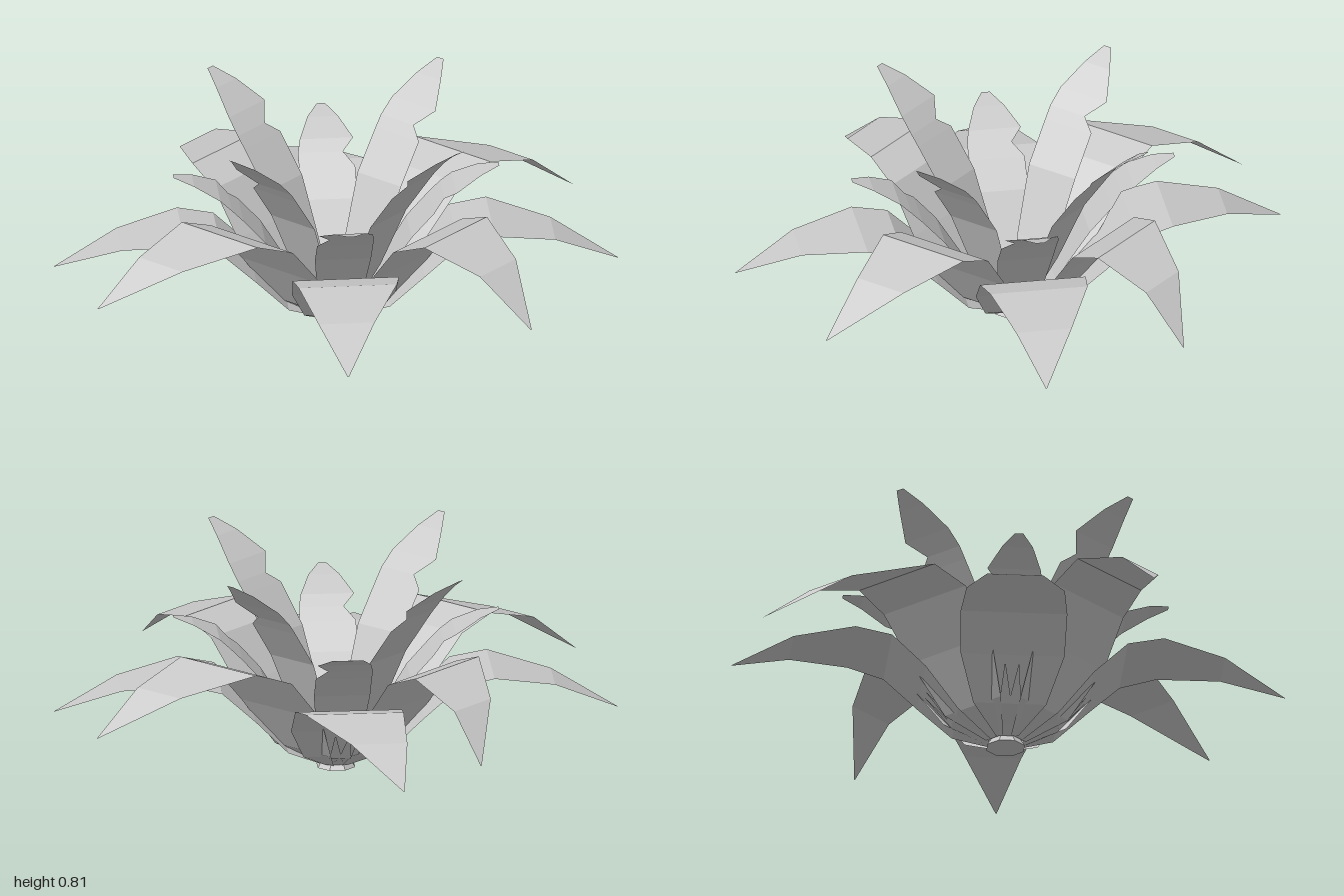
import * as THREE from 'three';

const leafGrey = new THREE.MeshStandardMaterial({
  name: 'leafGrey', color: 0xc8c8c8, flatShading: true, side: THREE.DoubleSide });

// A leaf sheet from rows of [radius, height, edge, other edge], growing outward along +x.
// A positive edge offset lies towards +z before the leaf is turned.
function leaf(name, rows, degrees) {
  const positions = [], index = [];
  rows.forEach(([r, y, a, b], i) => {
    positions.push(r, y, a, r, y, b);
    if (i) {
      const k = 2 * i;
      index.push(k - 2, k - 1, k, k - 1, k + 1, k);
    }
  });
  const geometry = new THREE.BufferGeometry();
  geometry.setAttribute('position', new THREE.Float32BufferAttribute(positions, 3));
  geometry.setIndex(index);
  geometry.computeVertexNormals();
  const mesh = new THREE.Mesh(geometry, leafGrey);
  mesh.name = name;
  mesh.rotation.y = -THREE.MathUtils.degToRad(degrees);
  return mesh;
}

// Outer leaf: rises, arches over and droops to a tip swept sideways
function outerLeaf(degrees, heights, [s1, s2, s3], tipRadius) {
  const radii = [0.06, 0.18, 0.3, 0.42, 0.55, 0.77, tipRadius];
  const halfWidths = [0.04, 0.13, 0.185, 0.19, 0.175, 0.1, 0.002];
  const sweep = [0, 0, 0, s1 / 2, s1, s2, s3];
  const rows = radii.map((r, i) =>
    [r, heights[i], sweep[i] - halfWidths[i], sweep[i] + halfWidths[i]]);
  return leaf('outerLeaf', rows, degrees);
}

export function createModel() {
  const plant = new THREE.Group();
  plant.name = 'rosettePlant';

  // Low outer leaves on the axes, higher ones on the diagonals
  const low = [0.02, 0.09, 0.225, 0.335, 0.365, 0.32, 0.21];
  const high = [0.02, 0.1, 0.28, 0.435, 0.485, 0.42, 0.27];
  const outer = [
    [0, low, [0, 0.02, 0.05], 1],
    [45, high, [0, 0.03, 0.11], 0.99],
    [90, low, [0.01, 0.035, 0.05], 0.99],
    [135, high, [0.08, 0.17, 0.31], 0.95],
    [180, low, [0.01, 0.03, 0.06], 1],
    [225, high, [0.04, 0.16, 0.325], 0.95],
    [270, low, [-0.02, -0.09, -0.16], 0.99],
    [315, high, [0.08, 0.17, 0.3], 0.955],
  ];
  for (const spec of outer) plant.add(outerLeaf(...spec));

  // Inner leaves, notched along one edge
  const tall = [
    [0.05, 0.03, -0.03, 0.03], [0.14, 0.22, -0.08, 0.08],
    [0.24, 0.45, -0.1, 0.1], [0.34, 0.59, -0.1, 0.1],
    [0.37, 0.63, -0.1, 0.05], [0.42, 0.685, -0.09, 0.11],
    [0.51, 0.76, -0.05, 0.06], [0.58, 0.805, -0.015, 0.015],
  ];
  const short = [
    [0.05, 0.03, -0.03, 0.03], [0.14, 0.15, -0.08, 0.08],
    [0.26, 0.34, -0.1, 0.1], [0.34, 0.43, -0.1, 0.1],
    [0.38, 0.47, -0.1, 0.06], [0.42, 0.505, -0.09, 0.1],
    [0.51, 0.55, -0.055, 0.055], [0.58, 0.57, -0.015, 0.015],
  ];
  // Small slender spikes around the base
  const spike = [[0.07, 0.03, -0.025, 0.025], [0.19, 0.085, -0.022, 0.022], [0.285, 0.195, -0.002, 0.002]];
  for (let i = 0; i < 4; i++) {
    plant.add(leaf('tallInnerLeaf', tall, 45 + 90 * i));
    plant.add(leaf('shortInnerLeaf', short, 90 * i));
    for (const side of [-1, 1]) plant.add(leaf('baseSpike', spike, 90 * i + side * 5));
  }

  // Stub of stem
  const stem = new THREE.Mesh(new THREE.CylinderGeometry(0.04, 0.072, 0.05, 8), leafGrey);
  stem.name = 'stem';
  stem.position.y = 0.025;
  stem.rotation.y = Math.PI / 8;
  plant.add(stem);

  return plant;
}
